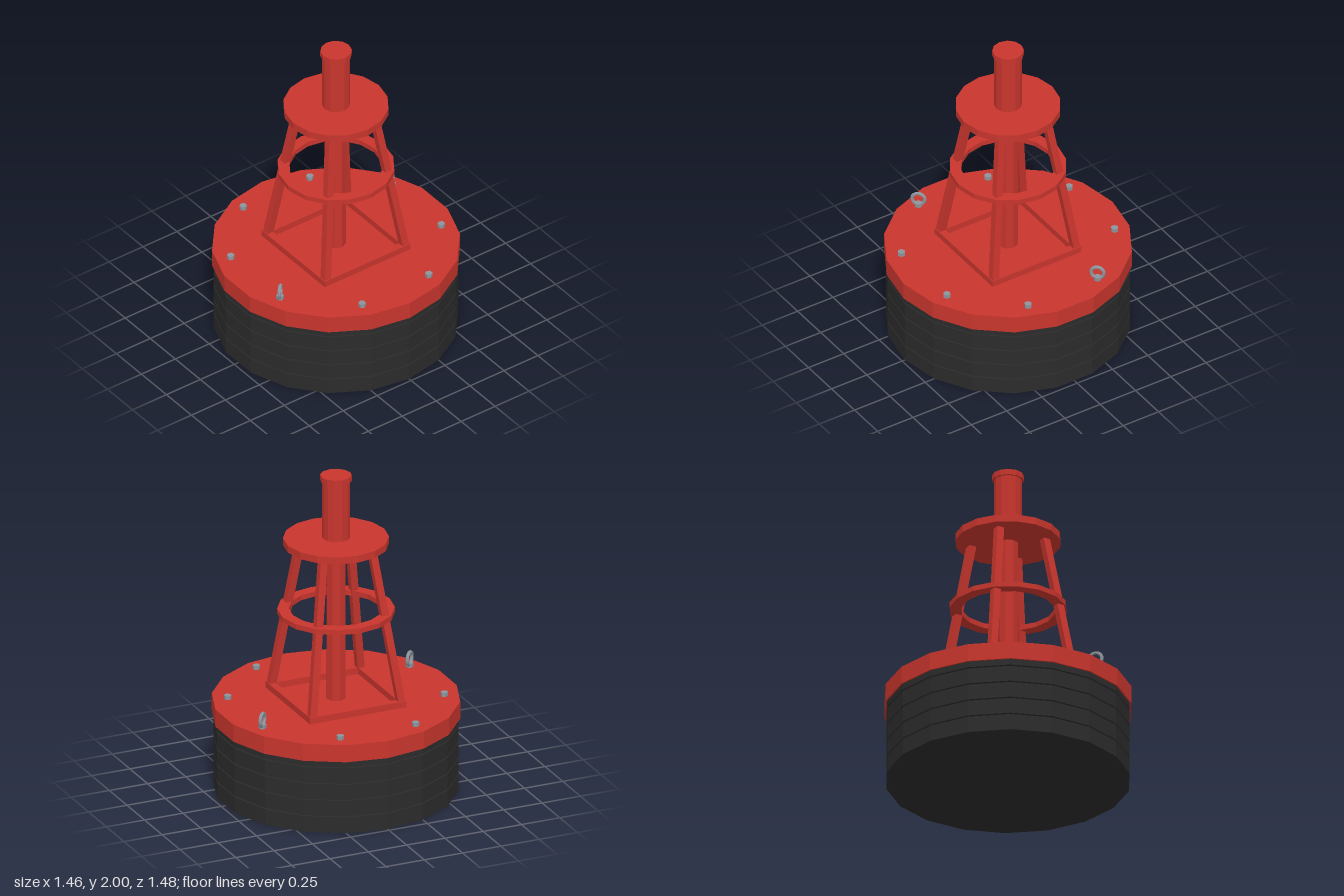
import * as THREE from 'three';

export function createModel() {
  const model = new THREE.Group();
  model.name = 'buoy';

  const material = (name, color) => {
    const m = new THREE.MeshStandardMaterial({ color, flatShading: true });
    m.name = name;
    return m;
  };
  const red = material('red paint', 0xc8352d);
  const black = material('black rubber', 0x2b2b2b);
  const steel = material('grey steel', 0x8c949b);

  const add = (name, geometry, mat, x = 0, y = 0, z = 0, parent = model) => {
    const mesh = new THREE.Mesh(geometry, mat);
    mesh.name = name;
    mesh.position.set(x, y, z);
    parent.add(mesh);
    return mesh;
  };
  // Upright prism between two heights
  const drum = (name, r, y0, y1, sides, mat) =>
    add(name, new THREE.CylinderGeometry(r, r, y1 - y0, sides), mat, 0, (y0 + y1) / 2, 0);

  // Float: stepped profile with four narrow grooves
  const profile = [[0, 0], [0.73, 0]];
  for (const y of [0.1, 0.205, 0.31, 0.415]) {
    profile.push([0.73, y], [0.685, y], [0.685, y + 0.008], [0.73, y + 0.008]);
  }
  profile.push([0.73, 0.46], [0, 0.46]);
  add('float', new THREE.LatheGeometry(profile.map(p => new THREE.Vector2(...p)), 18), black);
  drum('deck', 0.74, 0.46, 0.57, 18, red);

  // Square base frame
  const bar = 0.045, outer = 0.315, mid = outer - bar / 2;
  for (const s of [-1, 1]) {
    add('frameBar', new THREE.BoxGeometry(outer * 2, 0.04, bar), red, 0, 0.59, s * mid);
    add('frameBar', new THREE.BoxGeometry(bar, 0.04, (outer - bar) * 2), red, s * mid, 0.59, 0);
  }

  // Four legs leaning inward, sheared so both ends stay level
  const y0 = 0.57, y1 = 1.57, footAt = mid, topAt = 0.157;
  for (const sx of [-1, 1]) {
    for (const sz of [-1, 1]) {
      const leg = new THREE.BoxGeometry(bar, y1 - y0, bar);
      const p = leg.attributes.position;
      for (let i = 0; i < p.count; i++) {
        const at = p.getY(i) > 0 ? topAt : footAt;
        p.setXYZ(i, p.getX(i) + sx * at, p.getY(i) + (y0 + y1) / 2, p.getZ(i) + sz * at);
      }
      leg.computeVertexNormals();
      add('leg', leg, red);
    }
  }

  // Brace ring around the legs
  const ring = [[0.28, 1.114], [0.35, 1.114], [0.35, 1.146], [0.28, 1.146], [0.28, 1.114]];
  add('braceRing', new THREE.LatheGeometry(ring.map(p => new THREE.Vector2(...p)), 16), red);

  // Mast, platform and lantern tube
  drum('mast', 0.06, 0.57, 1.56, 8, red);
  drum('platform', 0.315, 1.555, 1.6, 16, red);
  drum('lanternTube', 0.083, 1.6, 1.965, 12, red);
  drum('lanternCap', 0.094, 1.965, 2, 12, red);

  // Eight deck bolts; two opposite ones carry lifting eyes
  for (let i = 0; i < 8; i++) {
    const a = (i + 0.5) * Math.PI / 4;
    const x = 0.643 * Math.cos(a), z = 0.643 * Math.sin(a);
    add('bolt', new THREE.CylinderGeometry(0.023, 0.023, 0.03, 6), steel, x, 0.58, z);
    if (i === 3 || i === 7) {
      const eye = add('liftingEye', new THREE.TorusGeometry(0.039, 0.011, 6, 16), steel, x, 0.623, z);
      eye.rotation.y = Math.PI / 4;
    }
  }
  return model;
}
